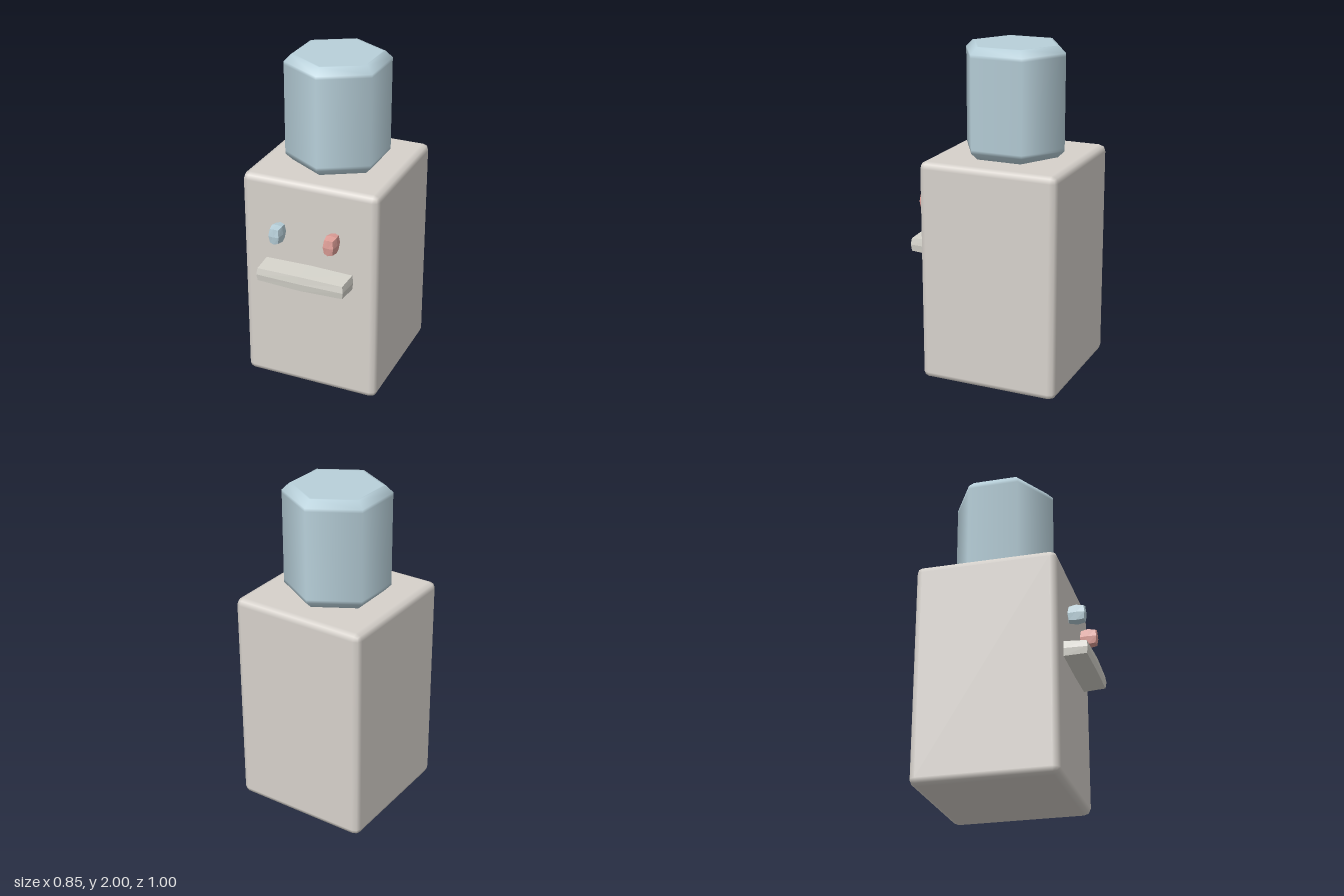
import * as THREE from 'three';
import { RoundedBoxGeometry } from 'three/addons/geometries/RoundedBoxGeometry.js';

function material(name, color, flatShading = false) {
  const m = new THREE.MeshStandardMaterial({ color, flatShading });
  m.name = name;
  return m;
}

// Box with slightly bulging sides: its edges and corners are pulled inwards
function bulgedBox(w, h, d, inset) {
  const geo = new THREE.BoxGeometry(w, h, d, 2, 2, 2);
  const p = geo.attributes.position;
  const v = new THREE.Vector3();
  for (let i = 0; i < p.count; i++) {
    v.fromBufferAttribute(p, i);
    const order = [v.x, v.y, v.z].filter((c) => Math.abs(c) > 1e-6).length - 1;
    p.setXYZ(i, ...v.toArray().map((c) => c - Math.sign(c) * inset * order));
  }
  geo.computeVertexNormals();
  return geo;
}

export function createModel() {
  const group = new THREE.Group();
  const stone = material('warm grey', 0xd6d1cb);
  const blue = material('pale blue', 0xb8d0da);
  const blueEye = material('pale blue facets', 0xb8d0da, true);
  const red = material('soft red', 0xdf9f98, true);
  const cream = material('light grey', 0xd5d3cb, true);

  const add = (name, geo, mat, x, y, z) => {
    const mesh = new THREE.Mesh(geo, mat);
    mesh.name = name;
    mesh.position.set(x, y, z);
    group.add(mesh);
  };

  // Block body with small rounded edges
  add('body', new RoundedBoxGeometry(0.85, 1.345, 0.85, 1, 0.04), stone, 0, 0.6775, -0.075);

  // Six-sided head with bevelled rims, one corner to the front
  const profile = [
    [0, 1.35], [0.255, 1.35], [0.27, 1.35], [0.312, 1.39], [0.312, 1.41],
    [0.312, 1.94], [0.312, 1.96], [0.27, 2], [0.255, 2], [0, 2],
  ].map(([r, y]) => new THREE.Vector2(r, y));
  add('head', new THREE.LatheGeometry(profile, 6), blue, 0, 0, -0.073);

  // Eyes and mouth
  const eye = bulgedBox(0.076, 0.11, 0.112, 0.006);
  add('rightEye', eye, blueEye, -0.17, 1.04, 0.411);
  add('leftEye', eye, red, 0.17, 1.04, 0.411);
  add('mouth', bulgedBox(0.56, 0.104, 0.29, 0.006), cream, 0, 0.785, 0.35);

  return group;
}
